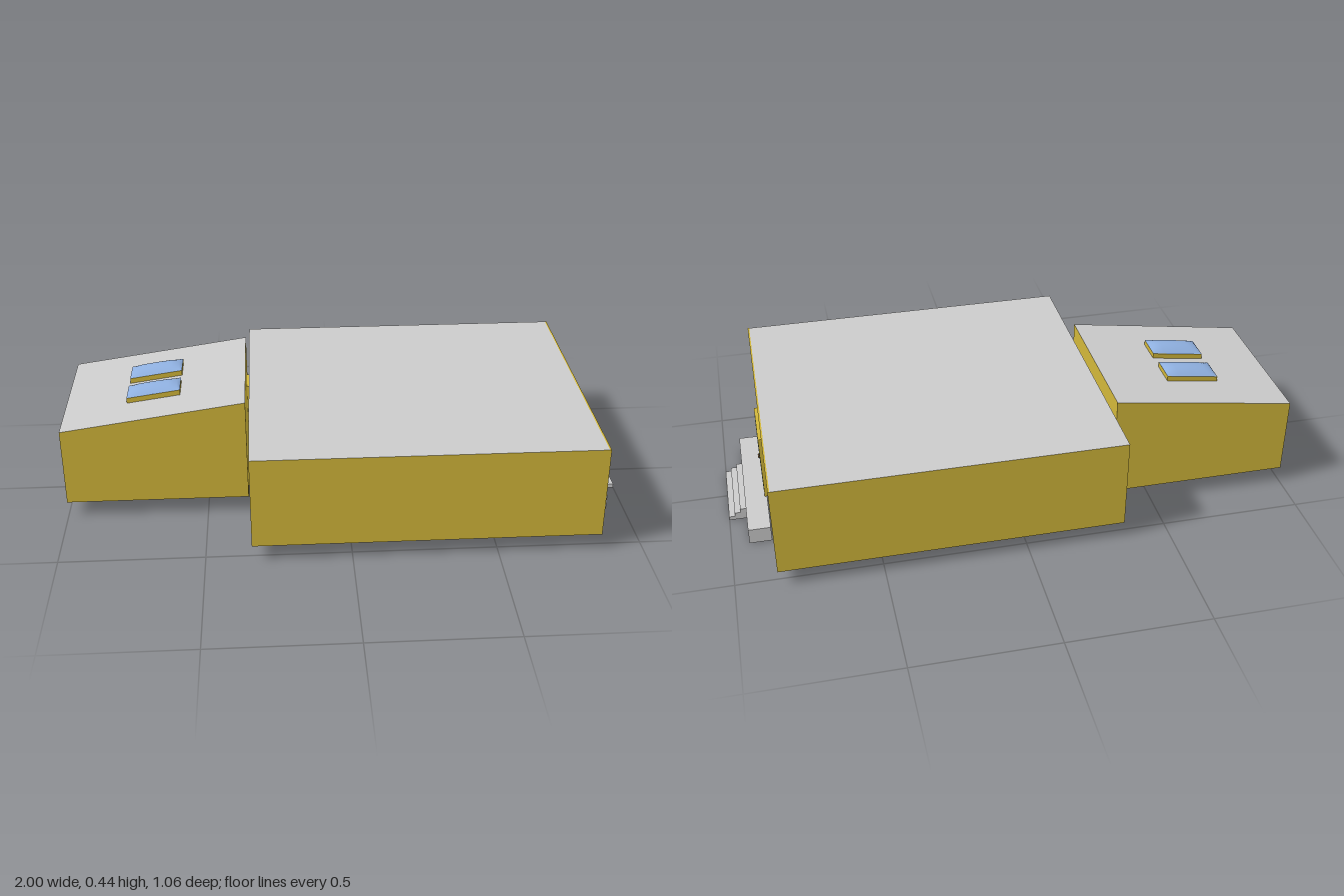
import * as THREE from 'three';

const paint = (color) => new THREE.MeshStandardMaterial({ color, side: THREE.DoubleSide });
const wall = paint(0xd2b73a), grey = paint(0xcccccc), floor = paint(0x5a4431);
const glass = paint(0x80bad4), dome = paint(0x8fb0e0), brass = paint(0x6a4a25);

// Box from its limits; faces are ordered +x, -x, +y, -y, +z, -z
function block(name, [x0, x1], [y0, y1], [z0, z1], material, omit = []) {
  const g = new THREE.BoxGeometry(x1 - x0, y1 - y0, z1 - z0);
  g.translate((x0 + x1) / 2, (y0 + y1) / 2, (z0 + z1) / 2);
  if (omit.length) {
    const all = Array.from(g.index.array);
    g.setIndex(all.filter((_, i) => !omit.includes(Math.floor(i / 6))));
    g.clearGroups();
  }
  const mesh = new THREE.Mesh(g, material);
  mesh.name = name;
  return mesh;
}

// Raise a block along the slope of the annex roof
const SLOPE = 0.147;
const roofY = (x) => 0.34 + SLOPE * (x + 1);
function reshape(mesh, rule) {
  const p = mesh.geometry.attributes.position;
  for (let i = 0; i < p.count; i++) p.setY(i, rule(p.getX(i), p.getY(i)));
  mesh.geometry.computeVertexNormals();
  return mesh;
}

// Arched glass cap with sloping ends, following the roof slope
function skylightDome(x0, x1, z0, z1, lift) {
  const stations = [[0, 0], [0.04, 0.009], [0.1, 0.014], [0.22, 0.019], [0.5, 0.02], [0.78, 0.018], [0.94, 0.011], [1, 0]];
  const n = 12, pos = [], idx = [];
  stations.forEach(([t, h], i) => {
    const x = x0 + (x1 - x0) * t;
    for (let j = 0; j <= n; j++) {
      const a = (j / n) * 2 - 1;
      pos.push(x, roofY(x) + lift + h * (1 - a * a), (z0 + z1) / 2 + a * (z1 - z0) / 2);
      if (i && j) {
        const d = i * (n + 1) + j, c = d - 1, b = d - n - 1, a0 = b - 1;
        idx.push(a0, b, d, a0, d, c);
      }
    }
  });
  const g = new THREE.BufferGeometry();
  g.setAttribute('position', new THREE.Float32BufferAttribute(pos, 3));
  g.setIndex(idx);
  g.computeVertexNormals();
  const mesh = new THREE.Mesh(g, dome);
  mesh.name = 'skylightGlass';
  return mesh;
}

function part(name, ...children) {
  const g = new THREE.Group();
  g.name = name;
  g.add(...children);
  return g;
}

export function createModel() {
  const model = new THREE.Group();
  model.name = 'building';
  const shell = [wall, wall, grey, floor, wall, wall];

  // Main hall with a thin facing on the entrance side
  model.add(part('mainHall',
    block('hall', [-0.342, 0.85], [0.057, 0.388], [-0.532, 0.53], shell),
    block('entranceWall', [0.85, 0.856], [0.057, 0.388], [-0.532, 0.53], wall)));

  // Annex with a sloping roof
  const annex = block('annexBody', [-1, -0.353], [0.057, 0.4], [-0.348, 0.206], shell);
  reshape(annex, (x, y) => (y > 0.2 ? roofY(x) : y));
  model.add(part('annex', annex));

  // Skylights
  for (const z of [-0.2, -0.04]) {
    const curb = block('skylightCurb', [-0.776, -0.586], [0, 0.019], [z, z + 0.1], wall);
    reshape(curb, (x, y) => roofY(x) + y);
    model.add(part('skylight', curb, skylightDome(-0.776, -0.586, z, z + 0.1, 0.0195)));
  }

  // Double entrance door
  const door = part('entranceDoor',
    block('doorFrame', [0.855, 0.868], [0.057, 0.303], [-0.109, 0.096], [grey, wall, wall, wall, wall, wall]),
    block('doorGap', [0.868, 0.8685], [0.062, 0.298], [-0.0068, -0.006], brass));
  for (const s of [-1, 1]) {
    const mid = -0.0064 + s * 0.051;
    door.add(block('doorGlass', [0.867, 0.869], [0.077, 0.284], [mid - 0.036, mid + 0.036], glass));
    const knob = new THREE.Mesh(new THREE.SphereGeometry(0.004, 12, 8), brass);
    knob.name = 'doorKnob';
    knob.position.set(0.871, 0.165, -0.0064 + s * 0.0075);
    door.add(knob);
  }
  model.add(door);

  // Passage door between the hall and the annex
  model.add(block('passageDoor', [-0.353, -0.342], [0.057, 0.305], [-0.29, -0.183], [grey, grey, wall, wall, wall, wall]));

  // Hollow landing, open below and behind the steps
  const stairs = part('entranceSteps',
    block('landing', [0.86, 0.938], [0, 0.057], [-0.29, 0.277], grey, [0, 1, 3]));
  for (const z of [[-0.29, -0.145], [0.132, 0.277]])
    stairs.add(block('landingFront', [0.937, 0.938], [0, 0.057], z, grey));
  stairs.add(block('topRiser', [0.937, 0.938], [0.042, 0.057], [-0.145, 0.132], grey));

  // Three hollow steps
  for (let i = 0; i < 3; i++) {
    const x0 = 0.938 + i * 0.0207;
    stairs.add(block('step', [x0, x0 + 0.0207], [0, 0.042 - i * 0.014], [-0.145, 0.132], grey, [0, 1, 3]));
    stairs.add(block('riser', [x0 + 0.0202, x0 + 0.0207], [0.028 - i * 0.014, 0.042 - i * 0.014], [-0.145, 0.132], grey));
  }
  model.add(stairs);
  return model;
}
